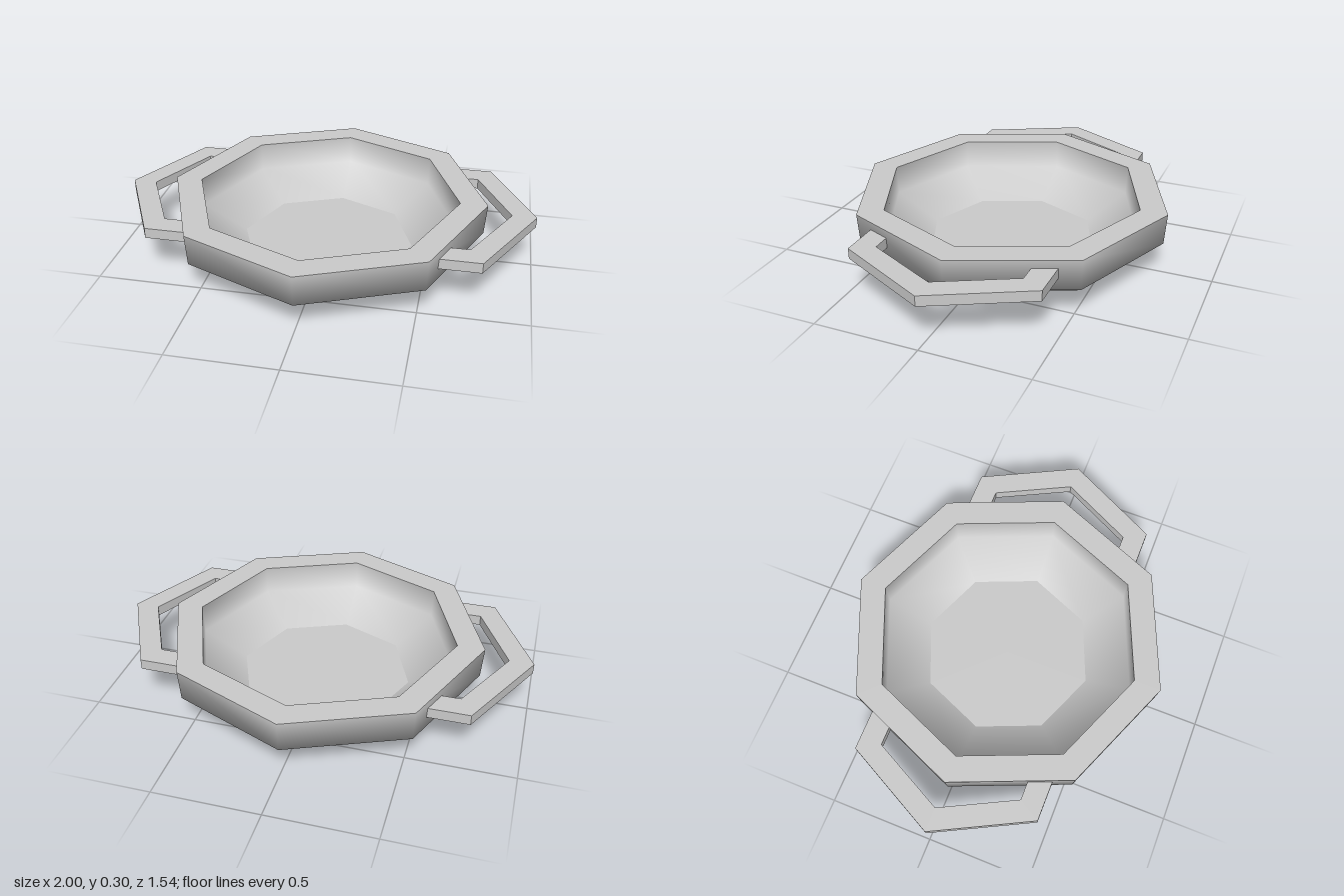
import * as THREE from 'three';

const SIDES = 8;

export function createModel() {
  const model = new THREE.Group();
  const material = new THREE.MeshStandardMaterial({ color: 0xcccccc });

  // Bowl: one lathe per smooth band, so the rim, floor and base keep sharp edges
  const bowl = new THREE.Group();
  bowl.name = 'bowl';
  const bands = {
    base: [[0, 0], [0.5, 0]],
    outerWall: [[0.5, 0], [0.76, 0.15], [0.77, 0.3]],
    rim: [[0.77, 0.3], [0.64, 0.3]],
    innerWall: [[0.64, 0.3], [0.635, 0.16], [0.42, 0.04]],
    floor: [[0.42, 0.04], [0, 0.04]],
  };
  for (const [name, profile] of Object.entries(bands)) {
    const points = profile.map(([r, y]) => new THREE.Vector2(r, y));
    const band = new THREE.Mesh(new THREE.LatheGeometry(points, SIDES), material);
    band.name = name;
    bowl.add(band);
  }
  model.add(bowl);

  // Handles: flat angular loops whose ends are sunk into the bowl wall
  const outline = [
    [0.54, -0.45], [0.77, -0.45], [1, 0], [0.77, 0.45], [0.54, 0.45],
    [0.54, 0.345], [0.71, 0.345], [0.885, 0], [0.71, -0.345], [0.54, -0.345],
  ];
  const shape = new THREE.Shape(outline.map(([x, z]) => new THREE.Vector2(x, z)));
  const handleGeometry = new THREE.ExtrudeGeometry(shape, { depth: 0.05, bevelEnabled: false });
  handleGeometry.rotateX(Math.PI / 2).translate(0, 0.26, 0);
  ['leftHandle', 'rightHandle'].forEach((name, i) => {
    const handle = new THREE.Mesh(handleGeometry, material);
    handle.name = name;
    handle.rotation.y = i * Math.PI;
    model.add(handle);
  });

  return model;
}
